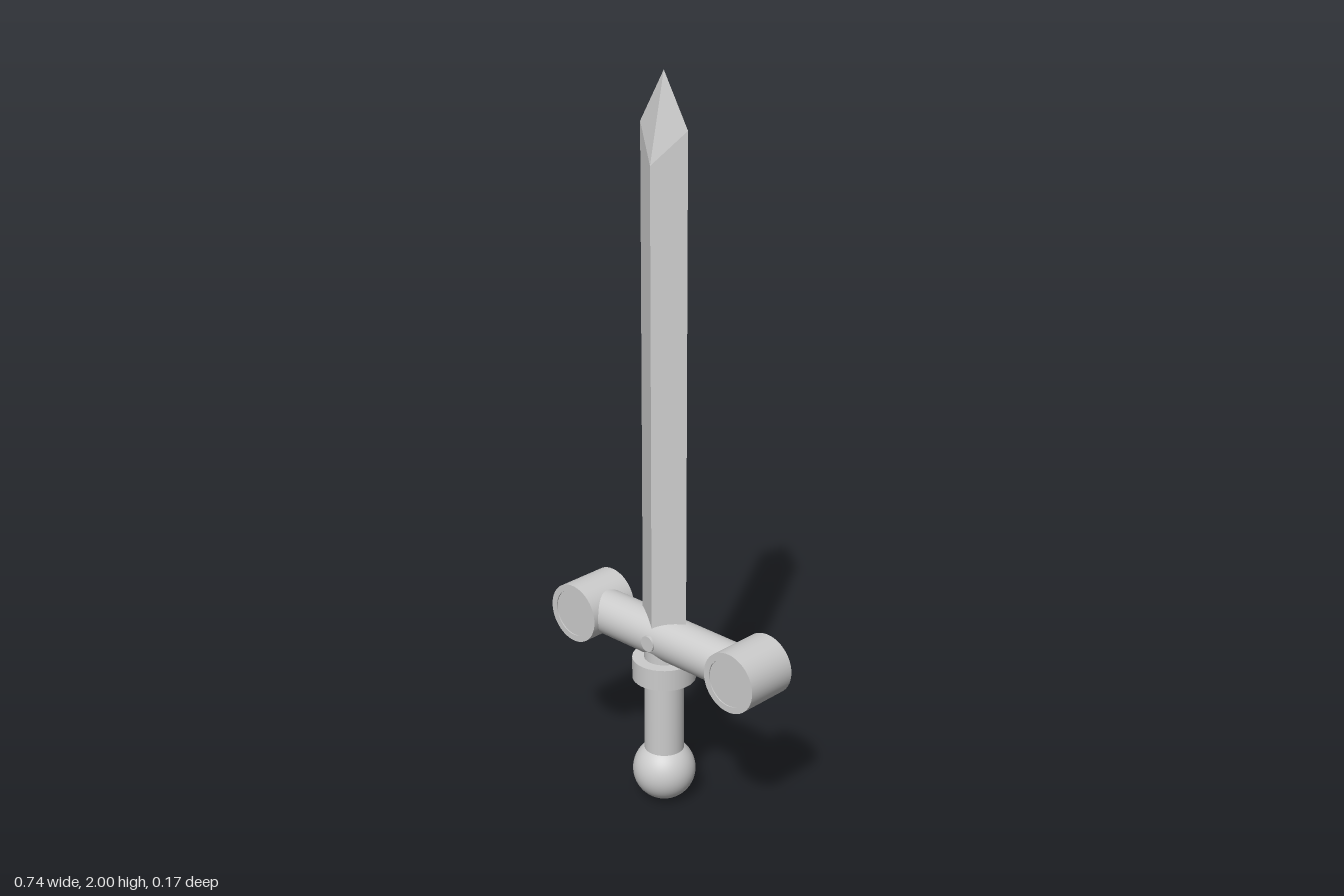
import * as THREE from 'three';

const material = new THREE.MeshStandardMaterial({ color: 0xcccccc });
const bladeMaterial = new THREE.MeshStandardMaterial({ color: 0xcccccc, flatShading: true });
const AXIS_X = -0.013; // blade and handle share this vertical axis
const GUARD_Y = 0.49;

function part(parent, name, geometry, x, y, z = 0, mat = material) {
  const mesh = new THREE.Mesh(geometry, mat);
  mesh.name = name;
  mesh.position.set(x, y, z);
  parent.add(mesh);
  return mesh;
}

// Diamond-section blade: four sides whose shoulders differ on edges and ridges, closing in a point
function bladeGeometry() {
  const w = 0.08, d = 0.048, bottom = GUARD_Y, tip = [0, 2, 0];
  const corners = [[w, 0, 1.865], [0, -d, 1.775], [-w, 0, 1.865], [0, d, 1.775]];
  const points = [];
  corners.forEach(([x, z, top], i) => {
    const [x2, z2, top2] = corners[(i + 1) % 4];
    const a = [x, bottom, z], b = [x2, bottom, z2], c = [x2, top2, z2], e = [x, top, z];
    points.push(...a, ...b, ...c, ...a, ...c, ...e, ...e, ...c, ...tip);
  });
  const geometry = new THREE.BufferGeometry();
  geometry.setAttribute('position', new THREE.Float32BufferAttribute(points, 3));
  geometry.computeVertexNormals();
  return geometry;
}

export function createModel() {
  const group = new THREE.Group();

  part(group, 'blade', bladeGeometry(), AXIS_X, 0, 0, bladeMaterial);

  // Handle
  part(group, 'pommel', new THREE.SphereGeometry(0.086, 48, 32), AXIS_X, 0.086);
  part(group, 'grip', new THREE.CylinderGeometry(0.054, 0.054, 0.37, 48), AXIS_X, 0.305);
  part(group, 'collar', new THREE.CylinderGeometry(0.086, 0.086, 0.06, 48), AXIS_X, 0.4);

  // Crossguard bar and the small stud through its middle
  part(group, 'guardBar', new THREE.CylinderGeometry(0.062, 0.062, 0.54, 48), 0, GUARD_Y).rotation.z = Math.PI / 2;
  part(group, 'guardStud', new THREE.CylinderGeometry(0.022, 0.022, 0.132, 24), AXIS_X, GUARD_Y).rotation.x = Math.PI / 2;

  // Drum ends of the guard, each with a rim around a slightly sunken face
  const R = 0.083, r = 0.065, h = 0.076, inset = 0.003;
  const shell = [[r, -h + inset], [r, -h], [R, -h], [R, h], [r, h], [r, h - inset]];
  for (const side of [-1, 1]) {
    const drum = new THREE.Group();
    drum.name = side > 0 ? 'leftGuardEnd' : 'rightGuardEnd';
    drum.position.set(side * 0.285, GUARD_Y, 0);
    drum.rotation.x = Math.PI / 2;
    // One lathe per profile segment keeps the rim edges sharp
    for (let i = 0; i < shell.length - 1; i++) {
      const segment = [shell[i], shell[i + 1]].map(([x, y]) => new THREE.Vector2(x, y));
      part(drum, 'drumShell', new THREE.LatheGeometry(segment, 48), 0, 0);
    }
    part(drum, 'drumFaces', new THREE.CylinderGeometry(r, r, 2 * (h - inset), 48), 0, 0);
    group.add(drum);
  }
  return group;
}
